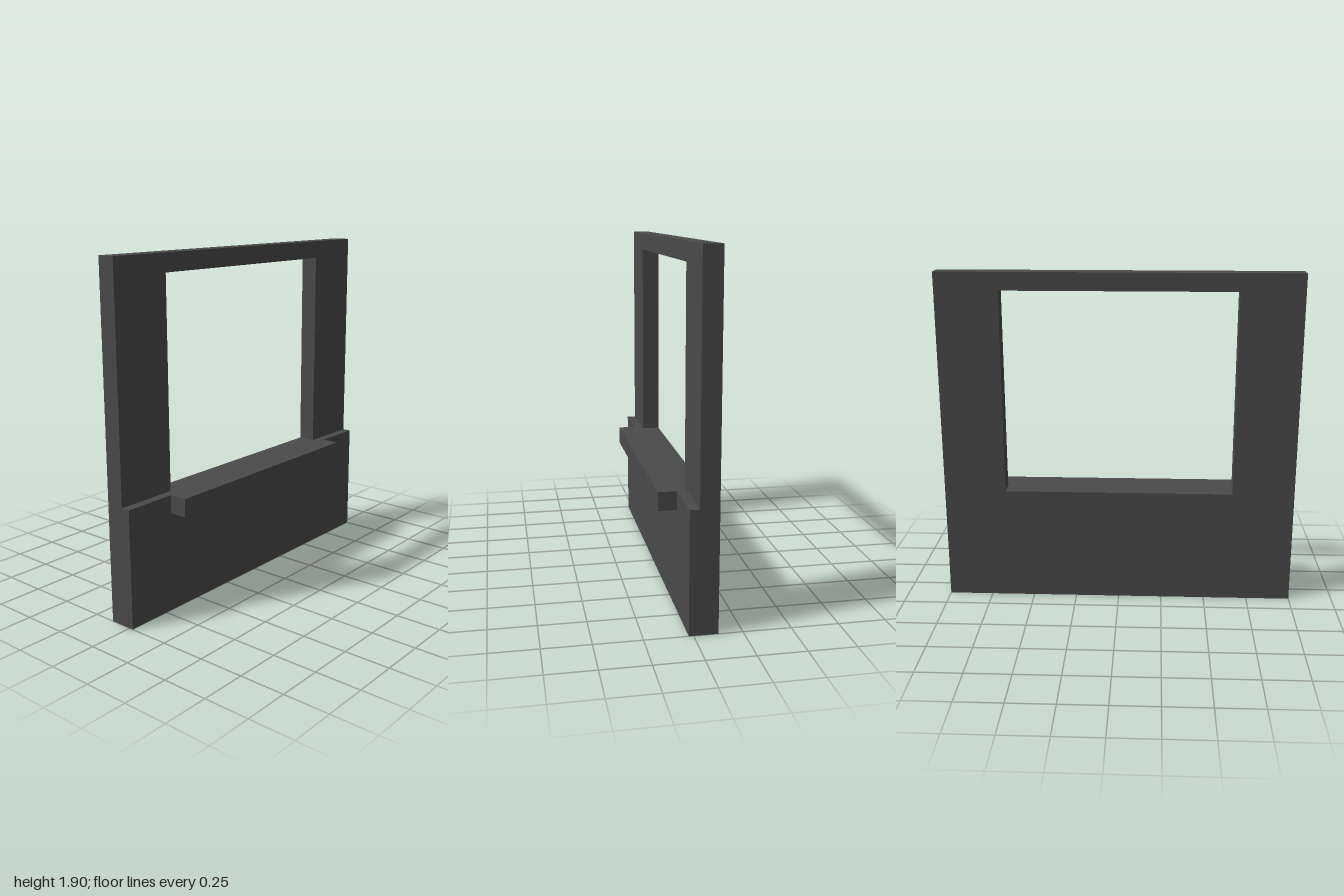
import * as THREE from 'three';

export function createModel() {
  const group = new THREE.Group();
  group.name = 'windowWall';
  const charcoal = new THREE.MeshStandardMaterial({ color: 0x4a4a4a });
  charcoal.name = 'charcoal';

  function add(name, geometry) {
    const mesh = new THREE.Mesh(geometry, charcoal);
    mesh.name = name;
    group.add(mesh);
    return mesh;
  }

  // Box given by its width, its vertical range and its depth range
  function addBox(name, width, y0, y1, z0, z1) {
    const mesh = add(name, new THREE.BoxGeometry(width, y1 - y0, z1 - z0));
    mesh.position.set(0, (y0 + y1) / 2, (z0 + z1) / 2);
  }

  const rect = (x, y0, y1) => [[-x, y0], [x, y0], [x, y1], [-x, y1]].map(p => new THREE.Vector2(...p));

  // Full-height wall panel with the window opening
  const outline = new THREE.Shape(rect(1, 0, 1.9));
  outline.holes.push(new THREE.Path(rect(0.65, 0.65, 1.8)));
  const wall = new THREE.ExtrudeGeometry(outline, { depth: 0.1, bevelEnabled: false });
  add('wallPanel', wall).position.z = -0.125;

  // Thicker lower wall and the projecting window sill
  addBox('lowerWallFacing', 2, 0, 0.65, -0.025, 0.025);
  addBox('windowSill', 1.4, 0.55, 0.65, 0.025, 0.125);

  return group;
}
